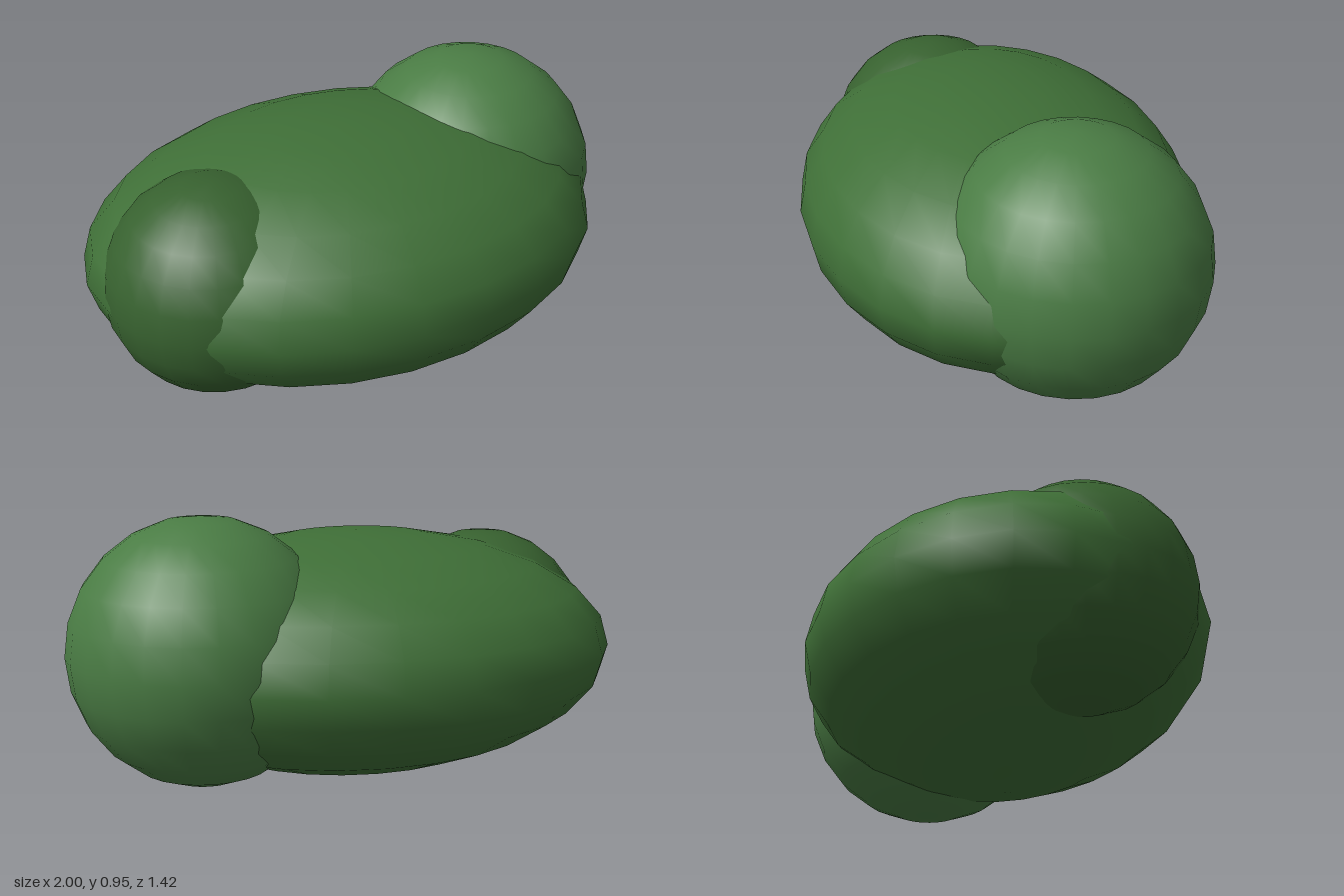
import * as THREE from 'three';

// Smooth ellipsoid lobe of the bush
function lobe(name, color, center, radii) {
  const mesh = new THREE.Mesh(
    new THREE.SphereGeometry(1, 24, 12).scale(...radii),
    new THREE.MeshStandardMaterial({ color })
  );
  mesh.name = name;
  mesh.position.set(...center);
  return mesh;
}

export function createModel() {
  const bush = new THREE.Group();
  bush.name = 'bush';
  bush.add(
    // wide flattened main mass
    lobe('mainFoliage', 0x3f6f37, [-0.05, 0.437, 0], [0.95, 0.432, 0.71]),
    // large lighter ball at the back of one end
    lobe('largeFoliage', 0x4a7c44, [0.525, 0.49, -0.16], [0.47, 0.47, 0.47]),
    // small darker ball at the other end
    lobe('smallFoliage', 0x37612f, [-0.58, 0.44, 0.14], [0.39, 0.39, 0.39])
  );
  return bush;
}
